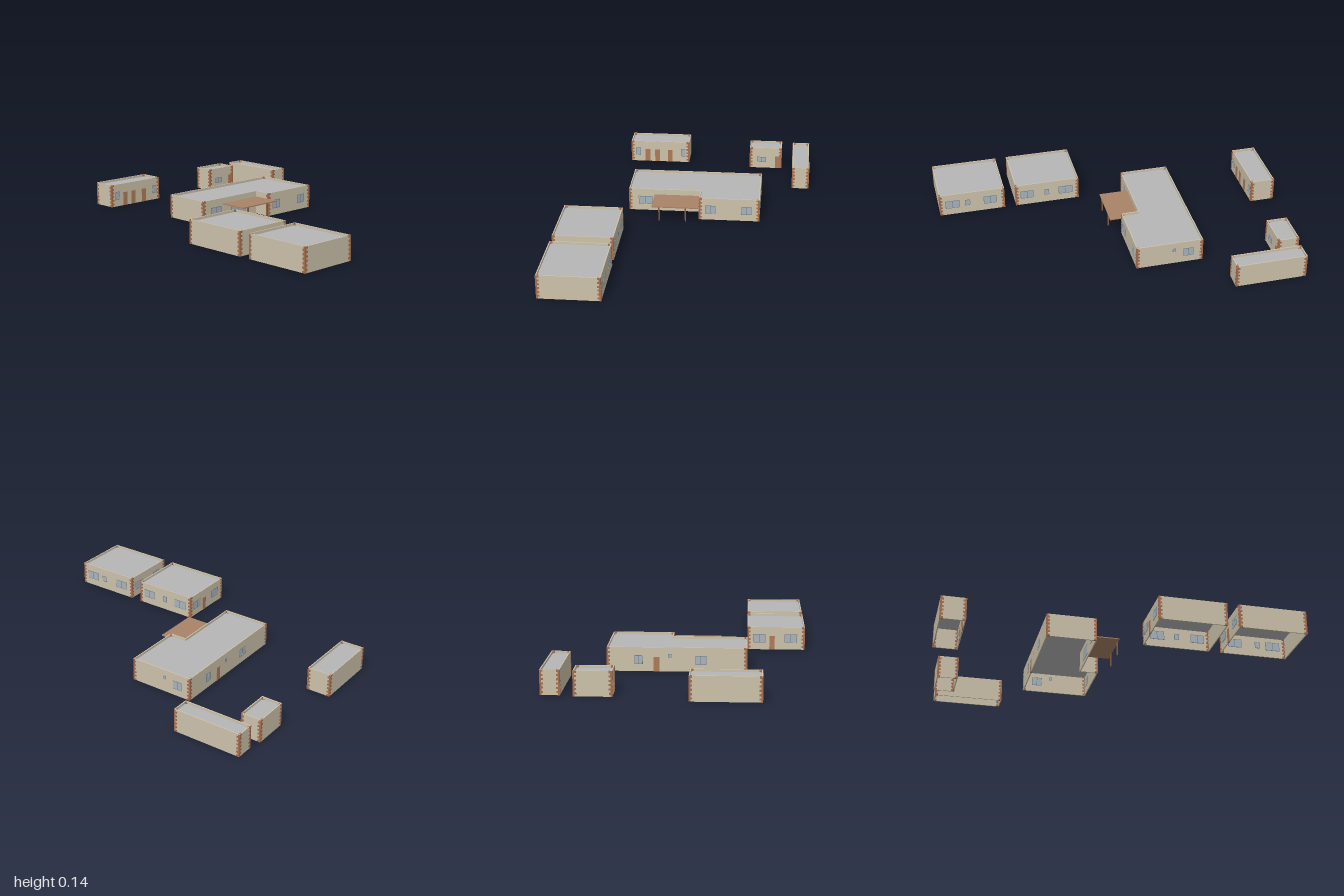
import * as THREE from 'three';

const mat = (name, color, side = THREE.FrontSide) => {
  const m = new THREE.MeshStandardMaterial({ color, side });
  m.name = name;
  return m;
};

const H = 0.137, T = 0.006; // wall height and thickness

export function createModel() {
  const wallMat = mat('wall tan', 0xcdc3ab);
  const roofMat = mat('roof grey', 0xb6b6b6);
  const brickMat = mat('corner brick', 0xa86e4e);
  const doorMat = mat('door brown', 0xae7b58);
  const canopyMat = mat('canopy brown', 0xa88267);
  const postMat = mat('post brown', 0x86603f);
  const frameMat = mat('window frame', 0x6d7f8e);
  const glassMat = mat('window glass', 0xaab4bd);

  const root = new THREE.Group();
  root.name = 'buildingCompound';

  function box(parent, name, m, x0, x1, y0, y1, z0, z1) {
    const mesh = new THREE.Mesh(new THREE.BoxGeometry(x1 - x0, y1 - y0, z1 - z0), m);
    mesh.position.set((x0 + x1) / 2, (y0 + y1) / 2, (z0 + z1) / 2);
    mesh.name = name;
    parent.add(mesh);
    return mesh;
  }

  // Footprint corners run front-left to front-right, then around
  const rect = (x0, x1, z0, z1) => [[x0, z1], [x1, z1], [x1, z0], [x0, z0]];

  // Outward normals of the two walls meeting at corner i
  function cornerInfo(pts, i) {
    const n = pts.length, p = pts[(i + n - 1) % n], c = pts[i], q = pts[(i + 1) % n];
    const a = [Math.sign(c[0] - p[0]), Math.sign(c[1] - p[1])];
    const b = [Math.sign(q[0] - c[0]), Math.sign(q[1] - c[1])];
    return { out: [-a[1] - b[1], a[0] + b[0]], convex: a[0] * b[1] - a[1] * b[0] < 0 };
  }

  function extrude(pts, hole, y, h) {
    const v = (l) => l.map(([x, z]) => new THREE.Vector2(x, -z));
    const s = new THREE.Shape(v(pts));
    if (hole) s.holes.push(new THREE.Path(v(hole)));
    const g = new THREE.ExtrudeGeometry(s, { depth: h, bevelEnabled: false });
    return g.rotateX(-Math.PI / 2).translate(0, y, 0);
  }

  // Hollow walls, sunken flat roof and toothed brick corners
  function building(name, pts) {
    const g = new THREE.Group();
    g.name = name;
    const inner = pts.map(([x, z], i) => {
      const { out } = cornerInfo(pts, i);
      return [x - out[0] * T, z - out[1] * T];
    });
    const walls = new THREE.Mesh(extrude(pts, inner, 0, H), wallMat);
    walls.name = 'walls';
    const roof = new THREE.Mesh(extrude(inner, null, 0.119, 0.004), roofMat);
    roof.name = 'roof';
    g.add(walls, roof);

    const rows = 12, h = H / rows, proud = 0.001;
    pts.forEach(([x, z], i) => {
      const { out, convex } = cornerInfo(pts, i);
      if (!convex) return;
      for (let r = 0; r < rows; r++) {
        const sx = r % 2 ? 0.018 : 0.009, sz = r % 2 ? 0.009 : 0.018;
        const xs = [x + out[0] * proud, x - out[0] * sx].sort((a, b) => a - b);
        const zs = [z + out[1] * proud, z - out[1] * sz].sort((a, b) => a - b);
        box(g, 'cornerBrick', brickMat, xs[0], xs[1], r * h, (r + 1) * h, zs[0], zs[1]);
      }
    });
    root.add(g);
    return g;
  }

  // Thin plate set through a wall; axis is the wall's normal, dir its sign
  function plate(g, name, m, axis, dir, at, u0, u1, y0, y1, thick) {
    const c = at - dir * T / 2, a = c - thick / 2, b = c + thick / 2;
    if (axis === 'z') box(g, name, m, u0, u1, y0, y1, a, b);
    else box(g, name, m, a, b, y0, y1, u0, u1);
  }

  function windowUnit(g, axis, dir, at, u0, u1, y0, y1, panes = 2) {
    plate(g, 'windowFrame', frameMat, axis, dir, at, u0, u1, y0, y1, 0.008);
    const f = 0.003, w = (u1 - u0 - f) / panes;
    for (let i = 0; i < panes; i++) {
      const s = u0 + f + i * w;
      plate(g, 'windowPane', glassMat, axis, dir, at, s, s + w - f, y0 + f, y1 - f, 0.009);
    }
  }

  const door = (g, axis, dir, at, c, w = 0.032) =>
    plate(g, 'door', doorMat, axis, dir, at, c - w / 2, c + w / 2, 0, 0.082, 0.009);

  // Two square blocks on the right-hand edge of the yard
  for (const [name, z0, z1, cols] of [
    ['frontBlock', 0.608, 1.0, [[0.88, 0.965], [0.816, 0.848], [0.655, 0.735]]],
    ['rearBlock', 0.152, 0.54, [[0.43, 0.51], [0.334, 0.363], [0.19, 0.275]]],
  ]) {
    const g = building(name, rect(-0.71, -0.368, z0, z1));
    cols.forEach(([a, b], i) => i === 1
      ? windowUnit(g, 'x', 1, -0.368, a, b, 0.05, 0.088, 1)
      : windowUnit(g, 'x', 1, -0.368, a, b, 0.043, 0.094));
    windowUnit(g, 'z', -1, z0, -0.475, -0.4, 0.043, 0.094);
    door(g, 'z', -1, z0, -0.515);
    windowUnit(g, 'z', -1, z0, -0.665, -0.59, 0.043, 0.094);
  }

  // L-shaped main house
  const zF = -0.012, zN = -0.114, zB = -0.4, xL = -0.367, xN = 0.06, xR = 0.417;
  const main = building('mainHouse',
    [[xL, zN], [xN, zN], [xN, zF], [xR, zF], [xR, zB], [xL, zB]]);
  windowUnit(main, 'z', 1, zN, -0.31, -0.226, 0.04, 0.091);
  windowUnit(main, 'z', 1, zN, -0.15, -0.03, 0.02, 0.088);
  windowUnit(main, 'z', 1, zF, 0.097, 0.158, 0.04, 0.091);
  windowUnit(main, 'z', 1, zF, 0.31, 0.37, 0.04, 0.091);
  windowUnit(main, 'x', 1, xR, -0.345, -0.286, 0.04, 0.091);
  windowUnit(main, 'x', 1, xR, -0.24, -0.222, 0.08, 0.1, 1);
  windowUnit(main, 'z', -1, zB, 0.215, 0.26, 0.04, 0.091);
  door(main, 'z', -1, zB, 0.138);
  windowUnit(main, 'z', -1, zB, 0.055, 0.074, 0.08, 0.1, 1);
  windowUnit(main, 'z', -1, zB, -0.14, -0.08, 0.04, 0.091);

  // Terrace canopy on two posts
  const canopy = new THREE.Group();
  canopy.name = 'terraceCanopy';
  box(canopy, 'canopyRoof', canopyMat, -0.214, 0.059, 0.098, 0.104, zN, 0.055);
  for (const x of [-0.17, -0.014])
    box(canopy, 'canopyPost', postMat, x - 0.004, x + 0.004, 0.015, 0.098, 0.046, 0.054);
  root.add(canopy);

  // Long outbuilding with a row of doors
  const shed = building('rearOutbuilding', rect(-0.449, -0.071, -1, -0.857));
  for (const x of [-0.405, -0.11])
    windowUnit(shed, 'z', 1, -0.857, x - 0.016, x + 0.016, 0.04, 0.091, 1);
  for (const x of [-0.343, -0.279, -0.196]) door(shed, 'z', 1, -0.857, x);

  // Small store and narrow store
  const store = building('smallStore', rect(0.327, 0.532, -0.932, -0.81));
  windowUnit(store, 'z', 1, -0.81, 0.375, 0.433, 0.04, 0.075);
  door(store, 'z', 1, -0.81, 0.508, 0.034);
  building('narrowStore', rect(0.602, 0.707, -0.916, -0.505));

  return root;
}
